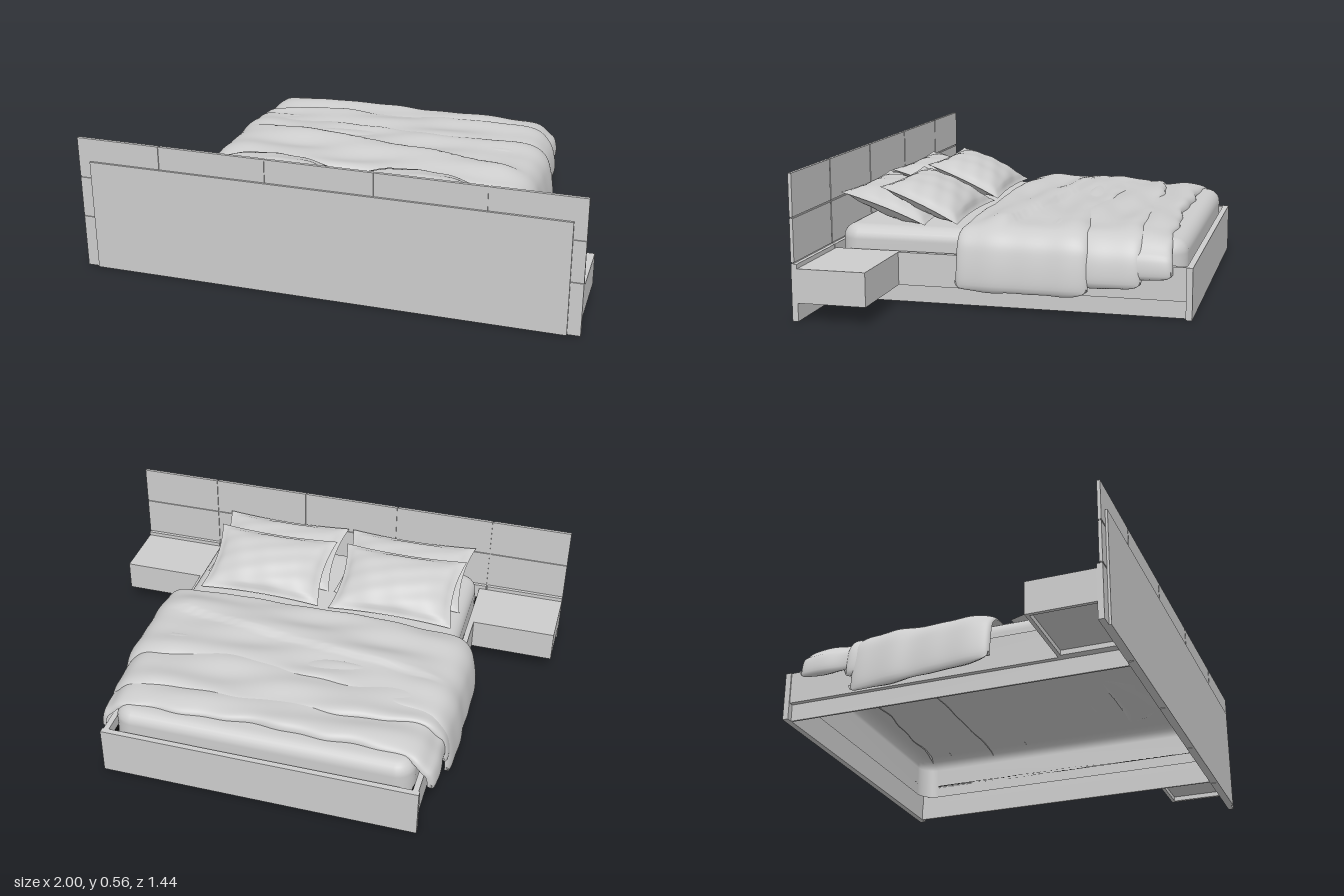
import * as THREE from 'three';
import { mergeGeometries } from 'three/addons/utils/BufferGeometryUtils.js';

const { lerp, clamp, smoothstep } = THREE.MathUtils;
const grey = new THREE.MeshStandardMaterial({ color: 0xcccccc, side: THREE.DoubleSide });
grey.name = 'plain grey';
const black = new THREE.MeshStandardMaterial({ color: 0x0a0a0a });
black.name = 'black trim';

function add(parent, name, geometry, material = grey) {
  const mesh = new THREE.Mesh(geometry, material);
  mesh.name = name;
  parent.add(mesh);
  return mesh;
}

// Box given by its limits on each axis
function box(parent, name, x0, x1, y0, y1, z0, z1, material) {
  const mesh = add(parent, name, new THREE.BoxGeometry(x1 - x0, y1 - y0, z1 - z0), material);
  mesh.position.set((x0 + x1) / 2, (y0 + y1) / 2, (z0 + z1) / 2);
}

// Value at x of the parabola through a (x=-0.7), b (x=0), c (x=0.7)
function bend([a, b, c], x) {
  const t = clamp(x / 0.7, -1, 1);
  return b + t * (c - a) / 2 + t * t * ((a + c) / 2 - b);
}

// Creases running mostly across the bed
function wrinkle(x, z, seed) {
  return 0.005 * Math.sin(24 * (z - 0.14 * x) + 2 * Math.sin(2.3 * x + seed) + seed)
    + 0.003 * Math.sin(41 * (z + 0.12 * x) + 1.5 * Math.sin(4 * x) + 2 * seed)
    + 0.002 * Math.sin(17 * x + 20 * z + seed);
}

// Draped layer: a cross-section over the bed, swept from foot to head with rolled edges
function drape({ head, foot, left, right, top, hem, seed, fold, sag = 0 }) {
  const side = (s, w) => [
    [s * (w - 0.035), hem + 0.012], [s * (w - 0.008), hem], [s * w, hem + 0.02],
    [s * (w - 0.012), (hem + top) / 2], [s * (w - 0.035), top - 0.06],
    [s * (w - 0.085), top - 0.018], [s * 0.45, top - 0.002],
  ];
  const path = [...side(-1, right), [0, top], ...side(1, left).reverse()];
  const curve = new THREE.CatmullRomCurve3(path.map(([x, y]) => new THREE.Vector3(x, y, 0)));
  const nu = 130, nv = 56;
  const points = curve.getSpacedPoints(nu);
  const geometry = new THREE.PlaneGeometry(1, 1, nu, nv);
  const pos = geometry.attributes.position;
  for (let i = 0; i < pos.count; i++) {
    const col = i % (nu + 1), row = Math.floor(i / (nu + 1));
    const p = points[col];
    const a = points[Math.max(col - 1, 0)], b = points[Math.min(col + 1, nu)];
    const n = new THREE.Vector2(a.y - b.y, b.x - a.x).normalize();
    const v = 0.5 - 0.5 * Math.cos(Math.PI * row / nv);
    const wave = 0.006 * Math.sin(13 * p.x + seed) + 0.004 * Math.sin(31 * p.x);
    const z = lerp(bend(foot, p.x) + wave, bend(head, p.x) + wave * 0.4, v);
    const roll = Math.sqrt(Math.max(0, 1 - Math.pow(2 * v - 1, 10)));
    const onTop = 1 - smoothstep(Math.abs(p.x), 0.52, 0.66);
    let d = (roll - 1) * 0.03 + wrinkle(p.x, z, seed) * roll * (0.5 + 0.5 * onTop);
    if (fold) {
      const t = z - bend(fold, p.x);
      d += 0.014 * smoothstep(t, -0.008, 0.012) * (1 - smoothstep(t, 0.02, 0.16)) * roll * onTop;
    }
    // The right hem hangs lower towards the foot
    const drop = p.x < 0 ? sag * (1 - v) * clamp((top - p.y) / (top - hem), 0, 1) : 0;
    pos.setXYZ(i, p.x + n.x * d, p.y + n.y * d - drop, z);
  }
  geometry.computeVertexNormals();
  return geometry;
}

// Mattress cover, open underneath: rounded rectangles stacked along a profile
function coverGeometry(hx, hz, y0, y1, corner, edge) {
  const angles = [], rings = [[corner, y1, 0], [corner, y1, 1]];
  for (let q = 0; q < 4; q++) {
    for (let k = 0; k <= 8; k++) angles.push([q, (q + k / 8) * Math.PI / 2]);
  }
  angles.push(angles[0]);
  for (let k = 0; k <= 6; k++) {
    const t = k / 6 * Math.PI / 2;
    rings.push([edge * (1 - Math.sin(t)), y1 - edge * (1 - Math.cos(t)), 1]);
  }
  rings.push([0, y0, 1]);
  const geometry = new THREE.PlaneGeometry(1, 1, angles.length - 1, rings.length - 1);
  const pos = geometry.attributes.position;
  for (let i = 0; i < pos.count; i++) {
    const [q, a] = angles[i % angles.length];
    const [inset, y, scale] = rings[Math.floor(i / angles.length)];
    const cx = (q < 2 ? 1 : -1) * (hx - corner), cz = (q === 0 || q === 3 ? 1 : -1) * (hz - corner);
    const r = corner - inset;
    pos.setXYZ(i, scale * (cx + r * Math.sin(a)), y, scale * (cz + r * Math.cos(a)));
  }
  geometry.computeVertexNormals();
  return geometry;
}

// Pillow with pinched corners and a flat flange
function pillowGeometry(width, length, upper, lower) {
  const n = 40;
  const half = (thick) => {
    const geometry = new THREE.PlaneGeometry(2, 2, n, n).rotateX(-Math.PI / 2);
    const pos = geometry.attributes.position;
    for (let i = 0; i < pos.count; i++) {
      const u = pos.getX(i), v = pos.getZ(i);
      const bu = Math.max(0, 1 - (u / 0.92) ** 2), bv = Math.max(0, 1 - (v / 0.91) ** 2);
      const rim = Math.min(1, (1 - Math.max(Math.abs(u), Math.abs(v))) * 20);
      const body = Math.pow(bu * bv, 0.48);
      const crease = 0.003 * Math.sin(9 * u + 5 * v) * Math.sin(7 * v - 3 * u) * Math.min(1, 3 * body);
      pos.setXYZ(i,
        u * width / 2 * (1 - 0.09 * (1 - v * v)),
        thick * body + 0.004 * rim + crease,
        v * length / 2 * (1 - 0.08 * (1 - u * u)));
    }
    geometry.computeVertexNormals();
    return geometry;
  };
  return mergeGeometries([half(upper), half(lower).rotateZ(Math.PI)]);
}

export function createModel() {
  const model = new THREE.Group();
  model.name = 'bed';

  // Headboard: tiled panels on a core, with a backing board
  const headboard = new THREE.Group();
  headboard.name = 'headboard';
  model.add(headboard);
  const xs = [-1, -0.655, -0.22, 0.21, 0.64, 1], ys = [0, 0.22, 0.39, 0.555], g = 0.003;
  for (let i = 0; i < 5; i++) {
    for (let j = 0; j < 3; j++) {
      box(headboard, 'headboardPanel',
        xs[i] + (i ? g : 0), xs[i + 1] - (i < 4 ? g : 0),
        ys[j] + (j ? g : 0), ys[j + 1] - (j < 2 ? g : 0), j ? 0.7 : 0.69, 0.713);
    }
  }
  box(headboard, 'headboardCore', -0.999, 0.999, 0.001, 0.554, 0.705, 0.709);
  box(headboard, 'backingBoard', -0.95, 0.95, 0, 0.46, 0.713, 0.722);

  // Frame: footboard, side rails and recessed plinths
  const frame = new THREE.Group();
  frame.name = 'frame';
  model.add(frame);
  box(frame, 'footboard', -0.65, 0.65, 0, 0.2, -0.722, -0.698);
  for (const s of [-1, 1]) {
    const span = (a, b) => (s > 0 ? [a, b] : [-b, -a]);
    box(frame, 'sideRail', ...span(0.622, 0.645), 0.07, 0.2, -0.698, 0.69);
    box(frame, 'plinth', ...span(0.617, 0.625), 0, 0.075, -0.698, 0.69);
    box(frame, 'sideTrim', ...span(0.61, 0.62), 0.145, 0.157, -0.685, 0.685, black);

    // Nightstand: box with a recessed underside
    const stand = new THREE.Group();
    stand.name = 'nightstand';
    model.add(stand);
    box(stand, 'nightstandTop', ...span(0.645, 1), 0.185, 0.2, 0.425, 0.69);
    box(stand, 'drawerFront', ...span(0.645, 1), 0.07, 0.185, 0.425, 0.44);
    box(stand, 'drawerBottom', ...span(0.66, 0.985), 0.09, 0.1, 0.44, 0.69);
    box(stand, 'innerSide', ...span(0.645, 0.66), 0.07, 0.185, 0.44, 0.69);
    box(stand, 'outerSide', ...span(0.985, 1), 0.07, 0.185, 0.44, 0.69);
  }
  box(frame, 'footTrim', -0.61, 0.61, 0.145, 0.157, -0.697, -0.69, black);
  box(frame, 'headTrim', -0.615, 0.615, 0.02, 0.1, 0.683, 0.69, black);

  // Mattress
  const mattress = add(model, 'mattress', coverGeometry(0.612, 0.687, 0.1, 0.29, 0.075, 0.055));
  mattress.position.set(-0.002, 0, -0.003);

  // Bedding in three overlapping layers
  const bedding = new THREE.Group();
  bedding.name = 'bedding';
  model.add(bedding);
  add(bedding, 'lowerBlanket', drape({
    head: [-0.33, -0.33, -0.33], foot: [-0.63, -0.61, -0.65],
    left: 0.685, right: 0.695, top: 0.316, hem: 0.15, seed: 1,
  }));
  add(bedding, 'middleBlanket', drape({
    head: [-0.15, -0.15, -0.15], foot: [-0.43, -0.5, -0.53],
    left: 0.7, right: 0.705, top: 0.325, hem: 0.115, seed: 2.6,
  }));
  add(bedding, 'duvet', drape({
    head: [0.17, 0.18, 0.175], foot: [-0.41, -0.3, -0.34],
    left: 0.725, right: 0.72, top: 0.331, hem: 0.08, seed: 4.2, fold: [-0.18, -0.1, 0.02], sag: 0.045,
  }));

  // Pillows, two deep on each side
  for (const x of [-0.305, 0.285]) {
    const back = add(model, 'backPillow', pillowGeometry(0.57, 0.365, 0.05, 0.07));
    back.position.set(x, 0.354, 0.515);
    back.rotation.x = -0.33;
    const front = add(model, 'frontPillow', pillowGeometry(0.545, 0.345, 0.056, 0.06));
    front.position.set(x, 0.37, 0.37);
    front.rotation.x = -0.41;
  }
  return model;
}
